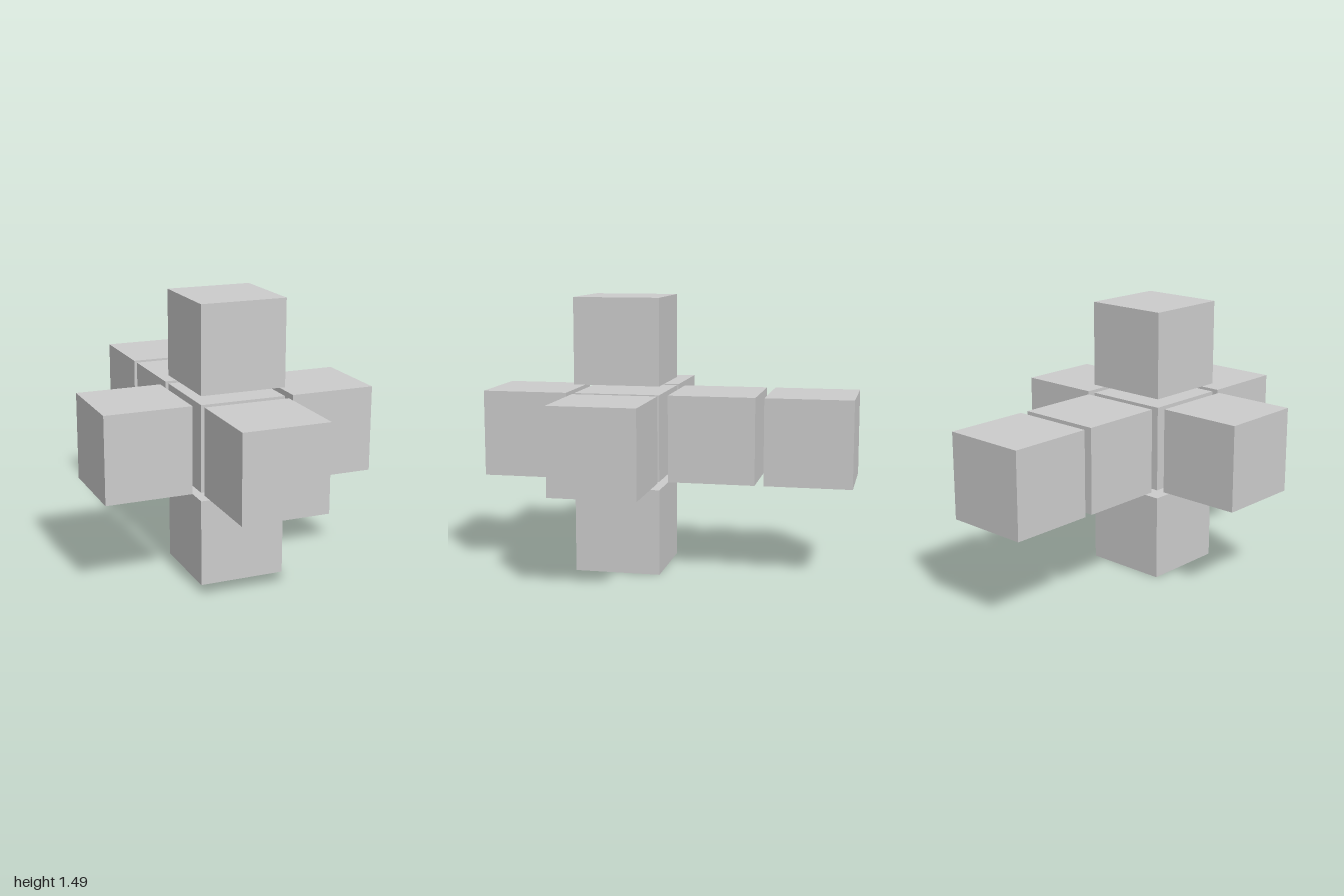
import * as THREE from 'three';

const SIZE = 0.4651;   // cube edge
const PITCH = 0.5116;  // distance between cube centres

// Cells of the unfolded hypercube, in steps from the core
const CELLS = {
  coreCube: [0, 0, 0],
  leftCube: [1, 0, 0],
  rightCube: [-1, 0, 0],
  topCube: [0, 1, 0],
  bottomCube: [0, -1, 0],
  frontCube: [0, 0, 1],
  backCube: [0, 0, -1],
  farBackCube: [0, 0, -2],
};

export function createModel() {
  const group = new THREE.Group();
  group.name = 'unfoldedHypercube';
  const geometry = new THREE.BoxGeometry(SIZE, SIZE, SIZE);
  const material = new THREE.MeshStandardMaterial({ color: 0xcccccc });

  // Core sits half a step forward so the long arm is centred on z = 0
  const core = new THREE.Vector3(0, PITCH + SIZE / 2, PITCH / 2);
  for (const [name, step] of Object.entries(CELLS)) {
    const cube = new THREE.Mesh(geometry, material);
    cube.name = name;
    cube.position.fromArray(step).multiplyScalar(PITCH).add(core);
    group.add(cube);
  }
  return group;
}
